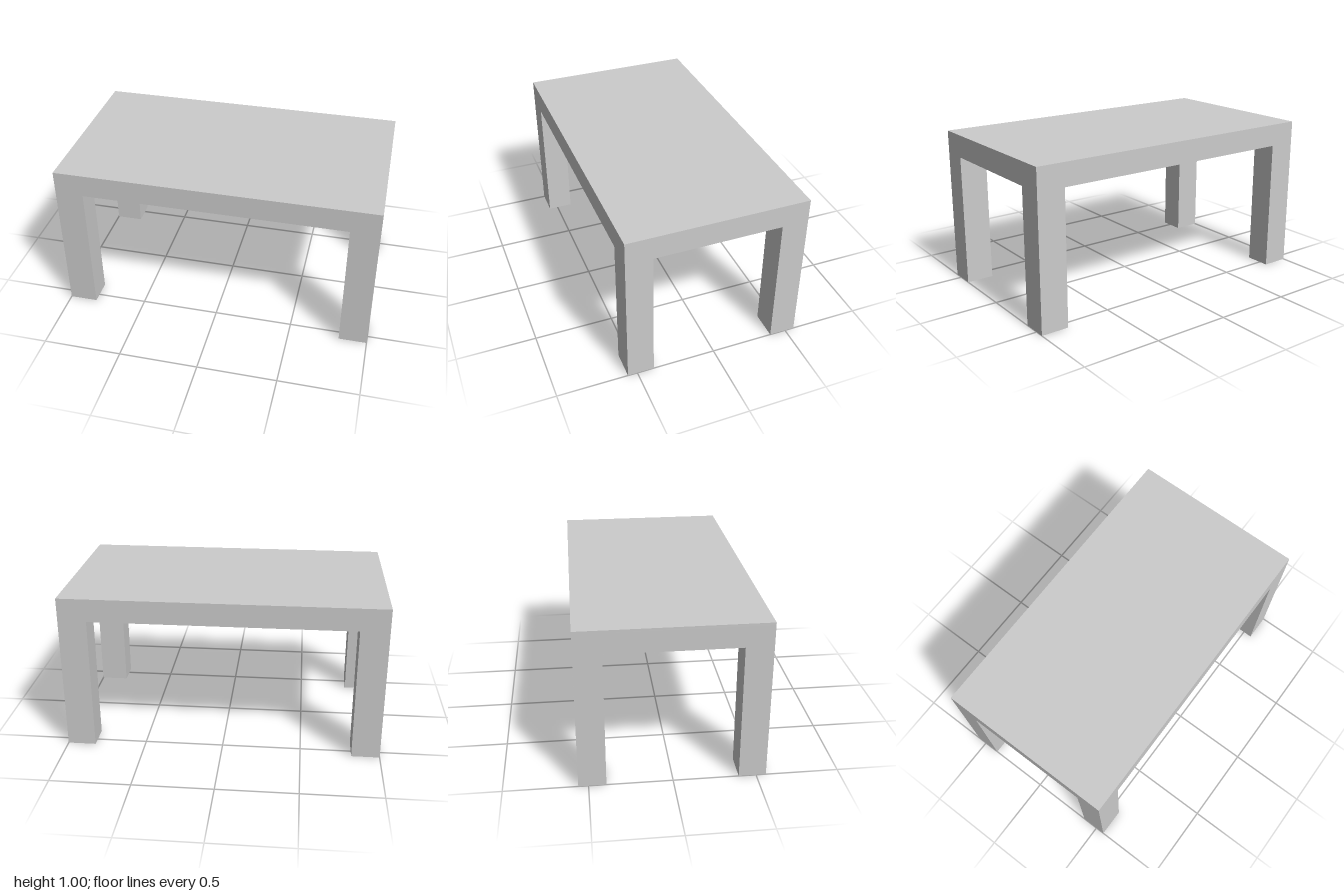
import * as THREE from 'three';

const W = 2, D = 1.12, H = 1;      // overall size
const LEG_W = 0.178, LEG_D = 0.165; // leg section, also the apron thickness
const APRON_Y = 0.855;              // underside of the apron
const TOP = 0.018;                  // thickness of the top panel

export function createModel() {
  const table = new THREE.Group();
  table.name = 'table';
  const material = new THREE.MeshStandardMaterial({ color: 0xcccccc, flatShading: true });

  const add = (name, geometry, x, y, z) => {
    const mesh = new THREE.Mesh(geometry, material);
    mesh.name = name;
    mesh.position.set(x, y, z);
    table.add(mesh);
    return mesh;
  };

  const rect = (target, w, d) => target
    .moveTo(-w / 2, -d / 2).lineTo(w / 2, -d / 2)
    .lineTo(w / 2, d / 2).lineTo(-w / 2, d / 2).closePath();

  // Thin top panel
  add('tableTop', new THREE.BoxGeometry(W, TOP, D), 0, H - TOP / 2, 0);

  // Apron frame, open in the middle so the underside is recessed
  const frame = rect(new THREE.Shape(), W, D);
  frame.holes.push(rect(new THREE.Path(), W - 2 * LEG_W, D - 2 * LEG_D));
  const apron = new THREE.ExtrudeGeometry(frame, { depth: H - TOP - APRON_Y, bevelEnabled: false });
  apron.rotateX(-Math.PI / 2);
  add('apron', apron, 0, APRON_Y, 0);

  // Four square legs, flush with the corners
  const leg = new THREE.BoxGeometry(LEG_W, APRON_Y, LEG_D);
  for (const [side, sx] of [['Left', 1], ['Right', -1]]) {
    for (const [end, sz] of [['front', 1], ['back', -1]]) {
      add(`${end}${side}Leg`, leg, sx * (W - LEG_W) / 2, APRON_Y / 2, sz * (D - LEG_D) / 2);
    }
  }
  return table;
}
